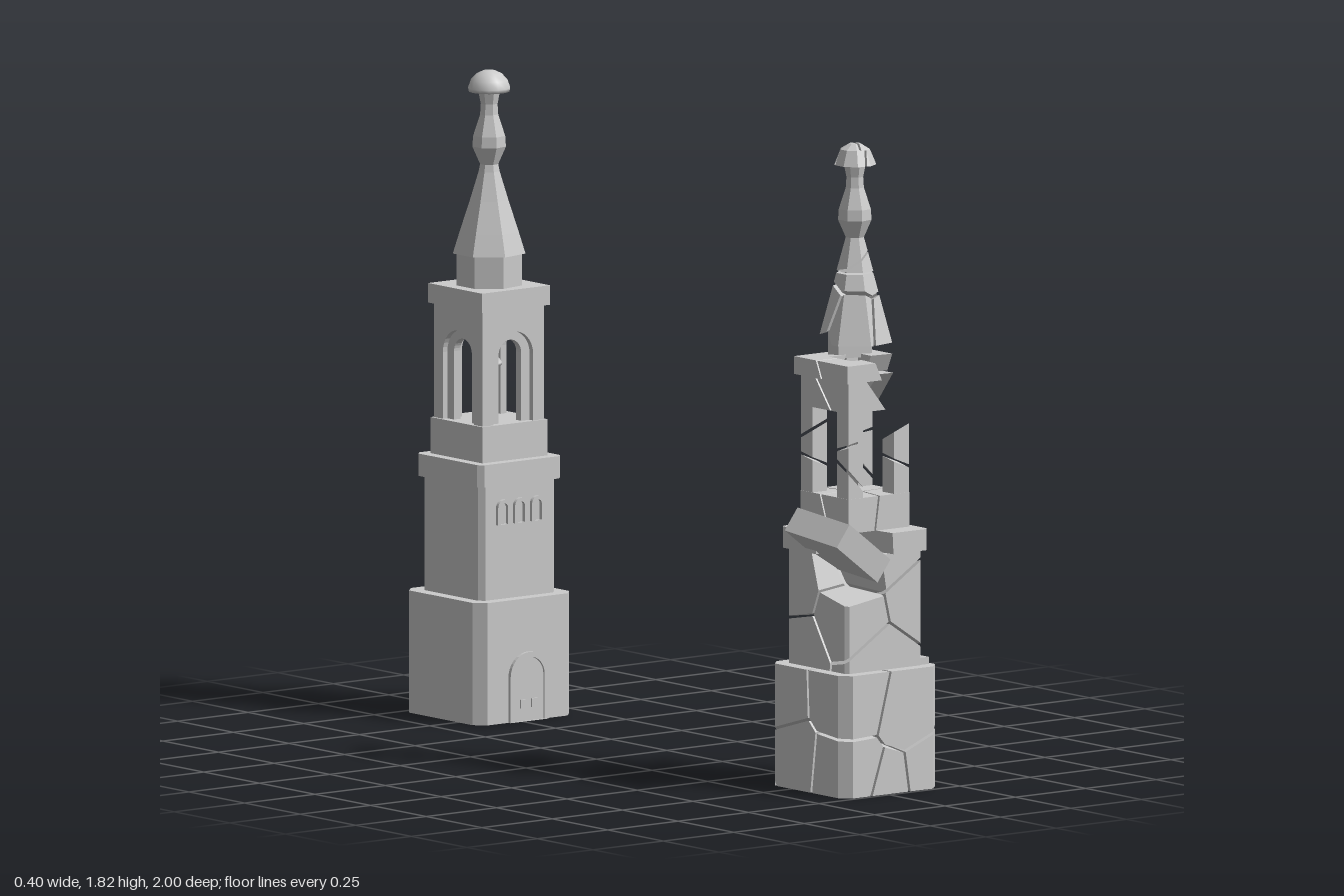
import * as THREE from 'three';
import { ConvexGeometry } from 'three/addons/geometries/ConvexGeometry.js';

const V = (x, y, z) => new THREE.Vector3(x, y, z);
const stone = new THREE.MeshStandardMaterial({ color: 0xcccccc, flatShading: true, side: THREE.DoubleSide });
const smooth = new THREE.MeshStandardMaterial({ color: 0xcccccc, side: THREE.DoubleSide });

function add(group, name, geometry, material = stone) {
  const mesh = new THREE.Mesh(geometry, material);
  mesh.name = name;
  group.add(mesh);
  return mesh;
}

// Convex solids are lists of half-spaces { n, d } with n.p <= d
const half = (x, y, z, d) => {
  const n = V(x, y, z), l = n.length();
  return { n: n.divideScalar(l), d: d / l };
};
function blockPlanes(r, chamfer, y0, y1, cx = 0, cz = 0) {
  const planes = [half(0, 1, 0, y1), half(0, -1, 0, -y0)];
  for (const [x, z] of [[1, 0], [-1, 0], [0, 1], [0, -1]]) planes.push(half(x, 0, z, r + x * cx + z * cz));
  if (chamfer) for (const x of [-1, 1]) for (const z of [-1, 1]) planes.push(half(x, 0, z, 2 * r - chamfer + x * cx + z * cz));
  return planes;
}
function frustumPlanes(sides, r0, r1, y0, y1) {
  const planes = [half(0, 1, 0, y1), half(0, -1, 0, -y0)];
  const k = Math.cos(Math.PI / sides), slope = (r0 - r1) * k / (y1 - y0);
  for (let i = 0; i < sides; i++) {
    const a = (i + 0.5) / sides * Math.PI * 2;
    planes.push(half(Math.cos(a), slope, Math.sin(a), r0 * k + slope * y0));
  }
  return planes;
}

// Corners of a convex solid, found where three planes meet
function solid(planes) {
  const points = [], N = planes.length;
  for (let i = 0; i < N; i++) for (let j = i + 1; j < N; j++) for (let k = j + 1; k < N; k++) {
    const [a, b, c] = [planes[i], planes[j], planes[k]];
    const bc = b.n.clone().cross(c.n), det = a.n.dot(bc);
    if (Math.abs(det) < 1e-5) continue;
    const p = bc.multiplyScalar(a.d).addScaledVector(c.n.clone().cross(a.n), b.d)
      .addScaledVector(a.n.clone().cross(b.n), c.d).divideScalar(det);
    if (planes.every(q => q.n.dot(p) <= q.d + 1e-6) && points.every(q => q.distanceTo(p) > 1e-4)) points.push(p);
  }
  return points.length > 3 ? new ConvexGeometry(points) : null;
}

// Break a solid into cells around seed points; a seed with a 4th value 0 is lost
function fracture(group, name, planes, seeds, gap = 0.006) {
  const pts = seeds.map(s => V(s[0], s[1], s[2]));
  pts.forEach((p, i) => {
    if (seeds[i][3] === 0) return;
    const cuts = pts.filter(q => q !== p).map(q => {
      const n = q.clone().sub(p).normalize();
      return { n, d: n.dot(p.clone().add(q).multiplyScalar(0.5)) - gap / 2 };
    });
    const geometry = solid([...planes, ...cuts]);
    if (geometry) add(group, name, geometry);
  });
}

// Round-headed arch outline standing on y0
function arch(path, w, y0, y1) {
  const r = w / 2;
  path.moveTo(-r, y0).lineTo(r, y0).lineTo(r, y1 - r);
  path.absarc(0, y1 - r, r, 0, Math.PI, false);
  return path.lineTo(-r, y0);
}
const extrude = (shape, depth) => new THREE.ExtrudeGeometry(shape, { depth, bevelEnabled: false, curveSegments: 8 });
function archFrame(w, y0, y1, t, depth) {
  const shape = arch(new THREE.Shape(), w, y0, y1);
  shape.holes.push(arch(new THREE.Path(), w - 2 * t, y0 + 0.001, y1 - t));
  return extrude(shape, depth);
}
function archWall(w, y0, y1, openW, openTop, depth) {
  const shape = new THREE.Shape([[-w / 2, y0], [w / 2, y0], [w / 2, y1], [-w / 2, y1]].map(p => new THREE.Vector2(...p)));
  shape.holes.push(arch(new THREE.Path(), openW, y0 + 0.001, openTop));
  return extrude(shape, depth);
}

const lathe = (profile, sides) => new THREE.LatheGeometry(profile.map(p => new THREE.Vector2(...p)), sides, Math.PI / 2);
const upperSpire = [[0.055, 1.45], [0.03, 1.53], [0.026, 1.55], [0.048, 1.60], [0.046, 1.63], [0.026, 1.69], [0.024, 1.72], [0.032, 1.76]];
const cap = [[0, 1.755], [0.058, 1.755], [0.06, 1.765], [0.052, 1.787], [0.036, 1.804], [0.018, 1.813], [0, 1.815]];

function wholeTower() {
  const g = new THREE.Group();
  g.name = 'wholeTower';
  // Stacked masonry stages
  for (const [name, r, c, y0, y1] of [
    ['base', 0.172, 0.03, 0, 0.345], ['shaft', 0.135, 0.015, 0.345, 0.67],
    ['shaftCornice', 0.147, 0.015, 0.667, 0.73], ['belfryFoot', 0.116, 0, 0.73, 0.832],
    ['belfryCornice', 0.121, 0, 1.155, 1.21]]) add(g, name, solid(blockPlanes(r, c, y0, y1)));
  // Belfry: outer arches at the corners' face, narrower ones set back
  for (let i = 0; i < 4; i++) {
    const side = new THREE.Group();
    side.name = 'belfrySide';
    add(side, 'outerArch', archWall(0.218, 0.83, 1.157, 0.14, 1.09, 0.016)).position.z = 0.093;
    add(side, 'innerArch', archWall(0.186, 0.83, 1.157, 0.08, 1.065, 0.022)).position.z = 0.071;
    side.rotation.y = i * Math.PI / 2;
    g.add(side);
  }
  add(g, 'bell', lathe([[0, 1.06], [0.012, 1.055], [0.018, 1.04], [0.022, 1.01], [0.036, 0.99], [0.036, 0.983], [0, 0.983]], 12), smooth);
  add(g, 'bellHanger', new THREE.CylinderGeometry(0.006, 0.006, 0.1, 6)).position.y = 1.105;
  // Roof
  add(g, 'drum', lathe([[0.094, 1.2], [0.094, 1.305]], 7));
  add(g, 'spire', lathe([[0, 1.3], [0.104, 1.3], [0.085, 1.36], ...upperSpire], 7));
  add(g, 'cap', lathe(cap, 14), smooth);
  // Door and the row of small windows on the front
  add(g, 'doorFrame', archFrame(0.135, 0, 0.195, 0.014, 0.016)).position.z = 0.166;
  add(g, 'door', extrude(arch(new THREE.Shape(), 0.108, 0, 0.18), 0.01)).position.z = 0.166;
  for (const s of [-1, 1]) add(g, 'doorPanel', new THREE.BoxGeometry(0.02, 0.025, 0.006)).position.set(s * 0.02, 0.05, 0.178);
  for (const x of [-0.06, 0, 0.06]) add(g, 'windowFrame', archFrame(0.045, 0.555, 0.625, 0.01, 0.012)).position.set(x, 0, 0.133);
  return g;
}

function brokenTower() {
  const g = new THREE.Group();
  g.name = 'brokenTower';
  // Base, with the top back corner lost
  fracture(g, 'baseShard', blockPlanes(0.172, 0.03, 0, 0.345), [
    [-0.13, 0.27, 0.12], [0.06, 0.22, 0.12], [-0.12, 0.07, 0.1], [0.13, 0.05, 0.13], [0.0, 0.03, 0.1],
    [0.13, 0.31, -0.11, 0], [0.1, 0.09, -0.1], [-0.05, 0.04, -0.13], [-0.12, 0.26, -0.1], [-0.15, 0.09, -0.05]], 0.008);
  // Shaft, with its front corner shards slipped away
  fracture(g, 'shaftShard', blockPlanes(0.135, 0.01, 0.345, 0.67), [
    [-0.09, 0.62, 0.11, 0], [0.03, 0.64, 0.06], [-0.07, 0.49, 0.08], [0.1, 0.53, 0.1], [0.0, 0.38, 0.1],
    [0.1, 0.4, -0.1], [0.08, 0.58, -0.08], [-0.07, 0.56, -0.09], [-0.08, 0.4, -0.06]], 0.008);
  fracture(g, 'corniceShard', blockPlanes(0.147, 0.01, 0.67, 0.73), [
    [-0.08, 0.7, 0.1, 0], [0.1, 0.71, 0.08], [0.07, 0.69, -0.09], [-0.09, 0.7, -0.08]]);
  const slab = add(g, 'fallenCorniceSlab', new THREE.BoxGeometry(0.21, 0.075, 0.21));
  slab.position.set(-0.115, 0.7, 0.068);
  slab.rotation.set(0.12, 0.1, -0.62);
  // Thin splinters left hanging at the break
  fracture(g, 'splinter', blockPlanes(0.06, 0, 0.345, 0.365, 0.1, 0.07), [[0.14, 0.355, 0.11], [0.06, 0.355, 0.03], [0.14, 0.37, 0.02, 0]]);
  // Belfry foot and its four cracked corner piers
  fracture(g, 'belfryFootShard', blockPlanes(0.108, 0, 0.735, 0.832), [
    [-0.07, 0.8, 0.06], [0.07, 0.78, 0.08], [0.06, 0.8, -0.07], [-0.06, 0.76, -0.05]]);
  for (const x of [-1, 1]) for (const z of [-1, 1]) {
    const cx = x * 0.081, cz = z * 0.081, t = 0.03 * x * z;
    fracture(g, 'belfryPier', blockPlanes(0.026, 0, 0.832, 1.075, cx, cz), [
      [cx - 0.02, 0.87, cz], [cx + 0.02, 0.94 + t, cz + 0.02], [cx - 0.01, 1.05, cz - 0.02, x * z > 0 && x > 0 ? 0 : 1]], 0.008);
  }
  // Remains of the belfry head: a ring of lintels and cornice, one corner gone
  for (let i = 0; i < 4; i++) {
    const side = new THREE.Group();
    side.name = 'belfryHeadSide';
    side.rotation.y = i * Math.PI / 2;
    const slab = (name, w, y0, y1, z0, z1, lost) => fracture(side, name,
      [half(1, 0, 0, w), half(-1, 0, 0, w), half(0, 1, 0, y1), half(0, -1, 0, -y0), half(0, 0, 1, z1), half(0, 0, -1, -z0)],
      [[-0.06, y0, 0.09, lost === -1 ? 0 : 1], [0.05, y1, 0.1, lost === 1 ? 0 : 1]]);
    const lost = i === 0 ? 1 : i === 1 ? -1 : 0;
    slab('lintelShard', 0.107, 1.073, 1.16, 0.055, 0.107, lost);
    slab('headCorniceShard', 0.121, 1.16, 1.21, 0.05, 0.121, lost);
    g.add(side);
  }
  // A scrap of the drum, then the split spire
  fracture(g, 'drumShard', frustumPlanes(7, 0.094, 0.094, 1.2, 1.28), [[0.03, 1.24, -0.09], [0, 1.24, 0.0, 0], [-0.07, 1.24, -0.04, 0]]);
  fracture(g, 'spireShard', frustumPlanes(7, 0.107, 0.053, 1.255, 1.45), [
    [-0.05, 1.33, 0.06], [0.05, 1.31, 0.05], [0.06, 1.37, -0.05], [-0.05, 1.36, -0.05], [0, 1.44, 0], [0, 1.25, -0.02, 0]], 0.01);
  fracture(g, 'neckShard', frustumPlanes(7, 0.053, 0.026, 1.455, 1.55), [[0.02, 1.46, 0.01], [-0.02, 1.52, 0]]);
  add(g, 'upperSpire', lathe([[0, 1.55], ...upperSpire.slice(2)], 7));
  fracture(g, 'capShard', [...frustumPlanes(9, 0.06, 0.042, 1.755, 1.798), ],
    [[0.02, 1.77, 0.02], [-0.02, 1.78, 0.02], [0, 1.77, -0.03]]);
  fracture(g, 'capTopShard', frustumPlanes(9, 0.042, 0.016, 1.798, 1.814), [[0.02, 1.8, 0.01], [-0.02, 1.81, 0]]);
  return g;
}

export function createModel() {
  const model = new THREE.Group();
  model.name = 'towers';
  const whole = wholeTower(), broken = brokenTower();
  whole.position.set(0.022, 0, -0.827);
  broken.position.set(0.022, 0, 0.817);
  model.add(whole, broken);
  return model;
}
